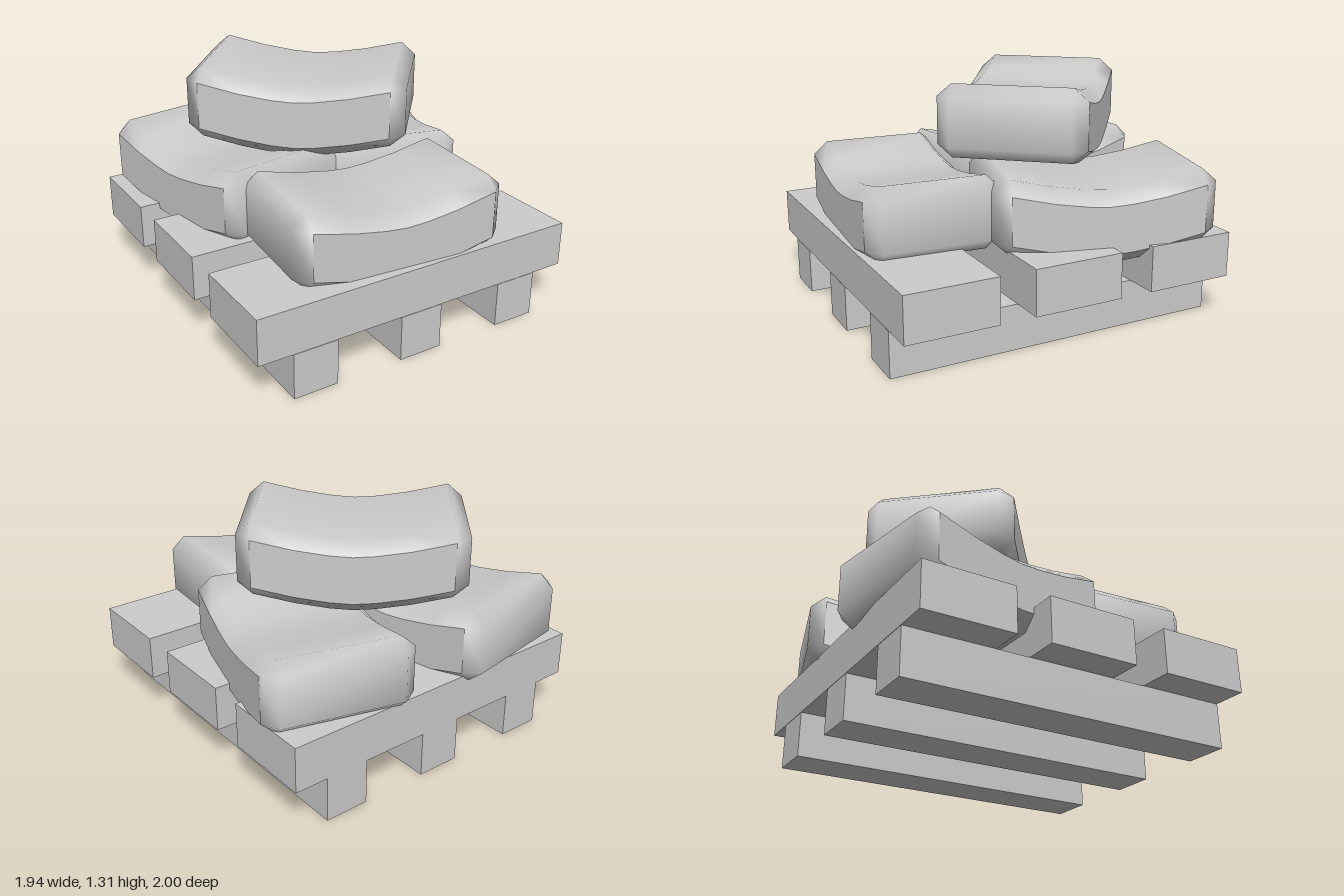
import * as THREE from 'three';
import { mergeVertices, mergeGeometries } from 'three/addons/utils/BufferGeometryUtils.js';

const BEVEL = 0.08, SIDE = 0.13, THICK = 0.2, SAG = 0.085;

// Sagging sack: bevelled cross-sections lofted along x, dipping in the middle
function sackGeometry(length, width) {
  const half = length / 2, w = width / 2, wi = w - BEVEL;
  const inner = half - BEVEL;
  const stations = [-half, -inner, -0.3, -0.12, 0, 0.12, 0.3, inner, half];
  const last = stations.length - 1;
  const positions = [], body = [], panels = [];
  stations.forEach((x, i) => {
    const end = i === 0 || i === last;
    const u = Math.min(1, Math.abs(x) / inner);
    const y = -SAG * (1 - Math.pow(u, 1.6));
    const ow = end ? wi : w, t = end ? SIDE : THICK;
    const ring = [[-ow, -SIDE], [-ow, SIDE], [-wi, t], [wi, t],
      [ow, SIDE], [ow, -SIDE], [wi, -t], [-wi, -t]];
    ring.forEach(([z, h]) => positions.push(x, y + h, z));
  });
  for (let i = 0; i < last; i++) {
    for (let k = 0; k < 8; k++) {
      const a = i * 8 + k, b = i * 8 + (k + 1) % 8, c = b + 8, d = a + 8;
      // the flat long sides keep a hard edge
      const flat = k % 4 === 0 && i > 0 && i < last - 1;
      (flat ? panels : body).push(a, b, c, a, c, d);
    }
  }
  const e = last * 8;
  body.push(e, e + 1, e + 4, e, e + 4, e + 5, 0, 4, 1, 0, 5, 4);
  const parts = [body, panels].map((index) => {
    const g = new THREE.BufferGeometry();
    g.setAttribute('position', new THREE.Float32BufferAttribute(positions, 3));
    g.setIndex(index);
    const welded = mergeVertices(g);
    welded.computeVertexNormals();
    return welded;
  });
  return mergeGeometries(parts);
}

export function createModel() {
  const model = new THREE.Group();
  const grey = new THREE.MeshStandardMaterial({ color: 0xcccccc });
  grey.name = 'plain grey';

  const addBox = (name, parent, w, h, d, x, y, z) => {
    const mesh = new THREE.Mesh(new THREE.BoxGeometry(w, h, d), grey);
    mesh.name = name;
    mesh.position.set(x, y, z);
    parent.add(mesh);
  };

  // Pallet: three runners under three wide slats
  const pallet = new THREE.Group();
  pallet.name = 'pallet';
  for (const x of [-0.655, -0.025, 0.605]) addBox('runner', pallet, 0.25, 0.253, 1.9, x, 0.1265, 0.05);
  for (const z of [-0.65, 0.045, 0.745]) addBox('slat', pallet, 1.89, 0.252, 0.505, -0.025, 0.379, z);
  model.add(pallet);

  // Sacks: name, width, centre x, y, z, turn
  const sacks = [
    ['frontSack', 0.73, -0.07, 0.68, 0.59, -0.077],
    ['rightSack', 0.81, -0.437, 0.68, -0.35, -1.398],
    ['leftSack', 0.81, 0.44, 0.68, -0.3, -1.839],
    ['topSack', 0.81, -0.008, 1.11, -0.187, -0.703],
  ];
  for (const [name, width, x, y, z, turn] of sacks) {
    const sack = new THREE.Mesh(sackGeometry(1.2, width), grey);
    sack.name = name;
    sack.position.set(x, y, z);
    sack.rotation.y = turn;
    model.add(sack);
  }
  return model;
}
